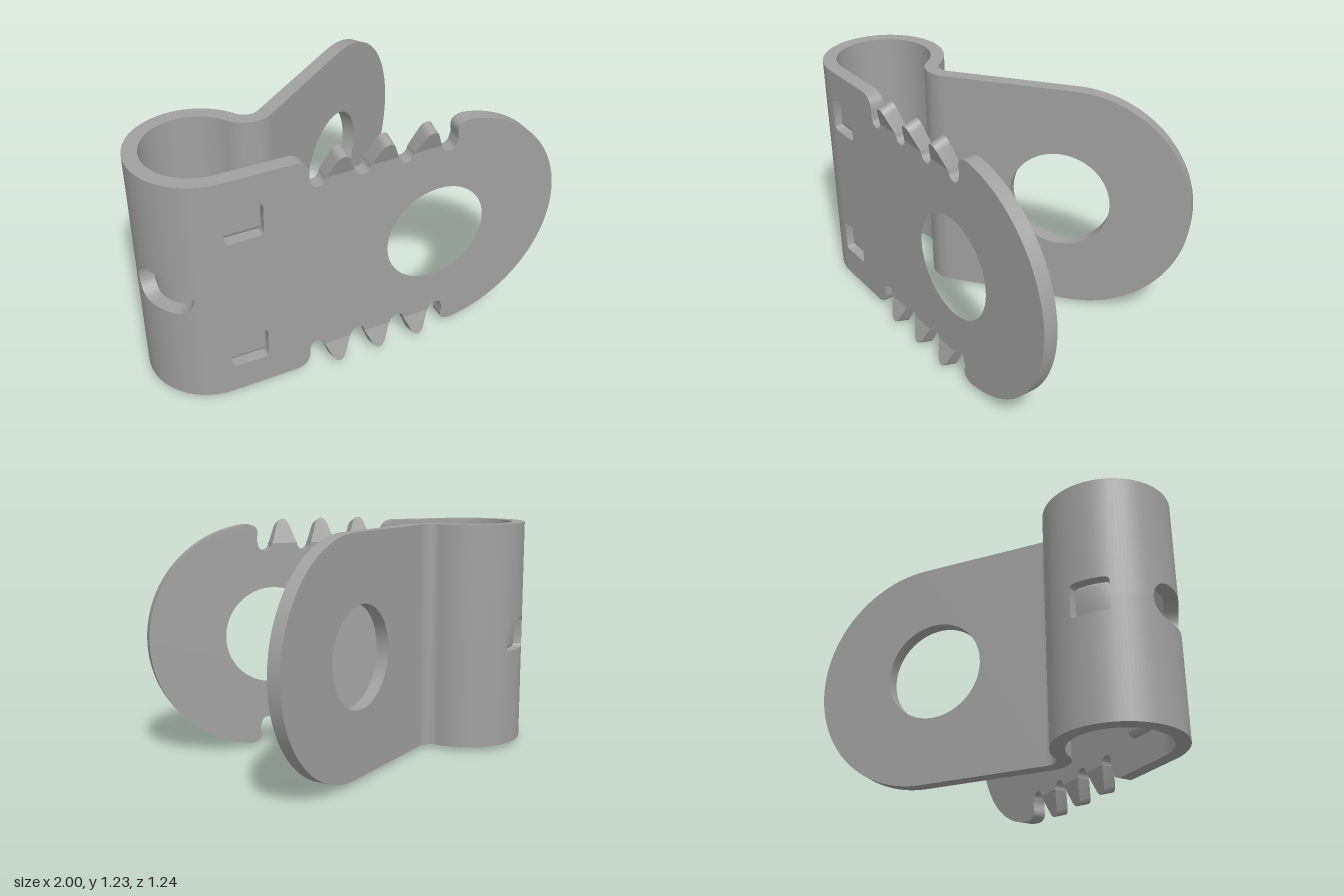
import * as THREE from 'three';
import { toCreasedNormals } from 'three/addons/utils/BufferGeometryUtils.js';
import { RoundedBoxGeometry } from 'three/addons/geometries/RoundedBoxGeometry.js';

const T = 0.068;            // sheet thickness
const H = 0.593;            // half height of the strip
const MID_Y = 0.613;        // height of the strip's centre line
const LOOP = { x: -0.697, z: 0.28, r: 0.27, end: 4.1214 };
const BEND = { x: -0.387, z: 0.072, r: 0.1033, from: -0.9798, to: 0.64 };
const FOLD = 0.487;         // teeth lean forward beyond this distance from the centre line
const LEAN = 0.32;
const TOOTH_X = [-0.16, 0.055, 0.27];
const material = new THREE.MeshStandardMaterial({ color: 0xa0a0a0 });

function mesh(name, geometry) {
  const m = new THREE.Mesh(geometry, material);
  m.name = name;
  return m;
}

function extrude(shape) {
  const g = new THREE.ExtrudeGeometry(shape, { depth: T, bevelEnabled: false, curveSegments: 48 });
  return g.translate(0, 0, -T / 2);
}

function circleHole(x, r) {
  return new THREE.Path().absarc(x, 0, r, 0, Math.PI * 2, true);
}

function roundedRectHole(x, y, w, h, r) {
  const p = new THREE.Path();
  p.absarc(x + w / 2 - r, y + h / 2 - r, r, 0, Math.PI / 2);
  p.absarc(x - w / 2 + r, y + h / 2 - r, r, Math.PI / 2, Math.PI);
  p.absarc(x - w / 2 + r, y - h / 2 + r, r, Math.PI, Math.PI * 1.5);
  p.absarc(x + w / 2 - r, y - h / 2 + r, r, Math.PI * 1.5, Math.PI * 2);
  return p;
}

// Front plate: notched along both long edges, rounded at the free end
function frontPlateGeometry() {
  const edge = new THREE.Path();
  edge.moveTo(LOOP.x, H);
  edge.lineTo(-0.37, H);
  edge.quadraticCurveTo(-0.305, 0.585, -0.303, 0.52);
  edge.lineTo(-0.302, FOLD);
  for (let i = 0; i < 4; i++) {
    const v = -0.265 + i * 0.2145;                       // rounded valley
    edge.absarc(v, FOLD, 0.038, Math.PI, Math.PI * 2);
    if (i < 3) edge.lineTo(TOOTH_X[i] + 0.067, FOLD);    // stub under a tooth
  }
  edge.quadraticCurveTo(0.425, 0.50, 0.418, 0.535);
  edge.quadraticCurveTo(0.41, 0.59, 0.48, 0.5885);
  const a = Math.acos(0.073 / H);
  edge.absarc(0.407, 0, H, a, 0, true);
  const top = edge.getPoints(24);
  const bottom = top.slice(0, -1).reverse().map(p => new THREE.Vector2(p.x, -p.y));
  const shape = new THREE.Shape([...top, ...bottom]);
  shape.holes.push(circleHole(0.345, 0.255));
  for (const s of [-1, 1]) shape.holes.push(roundedRectHole(-0.605, s * 0.358, 0.182, 0.165, 0.02));
  return toCreasedNormals(extrude(shape), 0.5);
}

// Tooth with a rounded tip, tilted forward from its base
function toothGeometry(side) {
  const p = new THREE.Path();
  p.moveTo(-0.068, FOLD);
  p.lineTo(-0.031, 0.578);
  p.quadraticCurveTo(-0.02, 0.602, 0, 0.602);
  p.quadraticCurveTo(0.02, 0.602, 0.031, 0.578);
  p.lineTo(0.068, FOLD);
  const pts = p.getPoints(8).map(q => new THREE.Vector2(q.x, q.y * side));
  const g = extrude(new THREE.Shape(pts));
  const pos = g.attributes.position;
  for (let i = 0; i < pos.count; i++) {
    const y = pos.getY(i), z = pos.getZ(i), rise = Math.abs(y) - FOLD;
    pos.setY(i, y - side * z * LEAN * Math.min(1, rise / 0.1));
    pos.setZ(i, z + rise * LEAN);
  }
  return toCreasedNormals(g, 0.5);
}

// Back plate: plain tongue with a round end, local x along the tongue
function backPlateGeometry() {
  const shape = new THREE.Shape();
  shape.moveTo(0, -H);
  shape.lineTo(0.654, -H);
  shape.absarc(0.654, 0, H, -Math.PI / 2, Math.PI / 2);
  shape.lineTo(0, H);
  shape.holes.push(circleHole(0.593, 0.255));
  return toCreasedNormals(extrude(shape), 0.5);
}

// Point on the curled sheet at path angle s, offset o outwards
function curlPoint(s, o, y) {
  if (s <= LOOP.end) {
    const r = LOOP.r + o;
    return [LOOP.x - r * Math.sin(s), y, LOOP.z + r * Math.cos(s)];
  }
  const t = BEND.from + s - LOOP.end, r = BEND.r - o;
  return [BEND.x + r * Math.sin(t), y, BEND.z + r * Math.cos(t)];
}

// Samples [s, half opening] across a rounded opening
function opening(s0, s1, half, rc) {
  const n = 12, ra = rc / LOOP.r, first = [], last = [];
  for (let i = 0; i <= n; i++) {
    const a = (i / n) * Math.PI / 2;
    const h = half - rc + rc * Math.sin(a), d = ra * (1 - Math.cos(a));
    first.push([s0 + d, h]);
    last.unshift([s1 - d, h]);
  }
  const mid = [];
  for (let i = 1; i < 8; i++) mid.push([s0 + ra + (s1 - s0 - 2 * ra) * i / 8, half]);
  return [[s0, 0], ...first, ...mid, ...last, [s1, 0]];
}

function solid(s0, s1, n) {
  return Array.from({ length: n + 1 }, (_, i) => [s0 + (s1 - s0) * i / n, 0]);
}

// Curled sheet: upper and lower halves, leaving the openings free between them
function curlGeometry() {
  const samples = [
    ...solid(0, 0.47, 12), ...opening(0.47, 1.56, 0.095, 0.095),
    ...solid(1.56, 2.21, 12), ...opening(2.21, 2.83, 0.083, 0.02),
    ...solid(2.83, LOOP.end, 24),
    ...solid(LOOP.end, LOOP.end + BEND.to - BEND.from, 28),
  ];
  const verts = [];
  for (const side of [-1, 1]) {
    const rings = samples.map(([s, h]) => [
      curlPoint(s, T / 2, side * h), curlPoint(s, T / 2, side * H),
      curlPoint(s, -T / 2, side * H), curlPoint(s, -T / 2, side * h),
    ]);
    for (let i = 0; i < rings.length - 1; i++) {
      if (samples[i + 1][0] - samples[i][0] < 1e-6 && samples[i][1] === samples[i + 1][1]) continue;
      for (let k = 0; k < 4; k++) {
        if (k === 3 && samples[i][1] === 0 && samples[i + 1][1] === 0) continue;
        const P = rings[i], Q = rings[i + 1], j = (k + 1) % 4;
        const q = [P[k], P[j], Q[j], Q[k]];
        if (side < 0) q.reverse();
        verts.push(...q[0], ...q[1], ...q[2], ...q[0], ...q[2], ...q[3]);
      }
    }
  }
  const g = new THREE.BufferGeometry();
  g.setAttribute('position', new THREE.Float32BufferAttribute(verts, 3));
  return toCreasedNormals(g, 0.5);
}

// Curved dimple pressed into the back of the loop, with rounded edges
function loopDimpleGeometry() {
  const bevel = 0.02, depth = 0.172 - 2 * bevel;
  const a0 = -2.12 - Math.PI / 2, a1 = -2.92 - Math.PI / 2;
  const shape = new THREE.Shape();
  shape.absarc(0, 0, 0.242, a0, a1, true);
  shape.absarc(0, 0, 0.226, a1, a0, false);
  const g = new THREE.ExtrudeGeometry(shape, {
    depth, bevelThickness: bevel, bevelSize: bevel, bevelSegments: 4, curveSegments: 16,
  });
  g.translate(0, 0, -depth / 2).rotateX(-Math.PI / 2);
  return toCreasedNormals(g, 0.6);
}

export function createModel() {
  const clamp = new THREE.Group();
  clamp.name = 'cableClamp';
  const frontZ = LOOP.z + LOOP.r;

  const front = mesh('frontPlate', frontPlateGeometry());
  front.position.set(0, MID_Y, frontZ);
  clamp.add(front);

  for (const side of [-1, 1]) {
    for (const x of TOOTH_X) {
      const tooth = mesh('tooth', toothGeometry(side));
      tooth.position.set(x, MID_Y, frontZ);
      clamp.add(tooth);
    }
    // Pressed dimples standing out on the inside of the front plate
    const dimple = mesh('frontDimple', new RoundedBoxGeometry(0.25, 0.172, 0.064, 4, 0.03));
    dimple.position.set(-0.605, MID_Y + side * 0.358, 0.513);
    clamp.add(dimple);
  }

  const curl = mesh('loopAndBend', curlGeometry());
  curl.position.y = MID_Y;
  clamp.add(curl);

  const loopDimple = mesh('loopDimple', loopDimpleGeometry());
  loopDimple.position.set(LOOP.x, MID_Y, LOOP.z);
  clamp.add(loopDimple);

  const back = mesh('backPlate', backPlateGeometry());
  back.position.set(BEND.x + BEND.r * Math.sin(BEND.to), MID_Y, BEND.z + BEND.r * Math.cos(BEND.to));
  back.rotation.y = BEND.to;
  clamp.add(back);

  return clamp;
}
